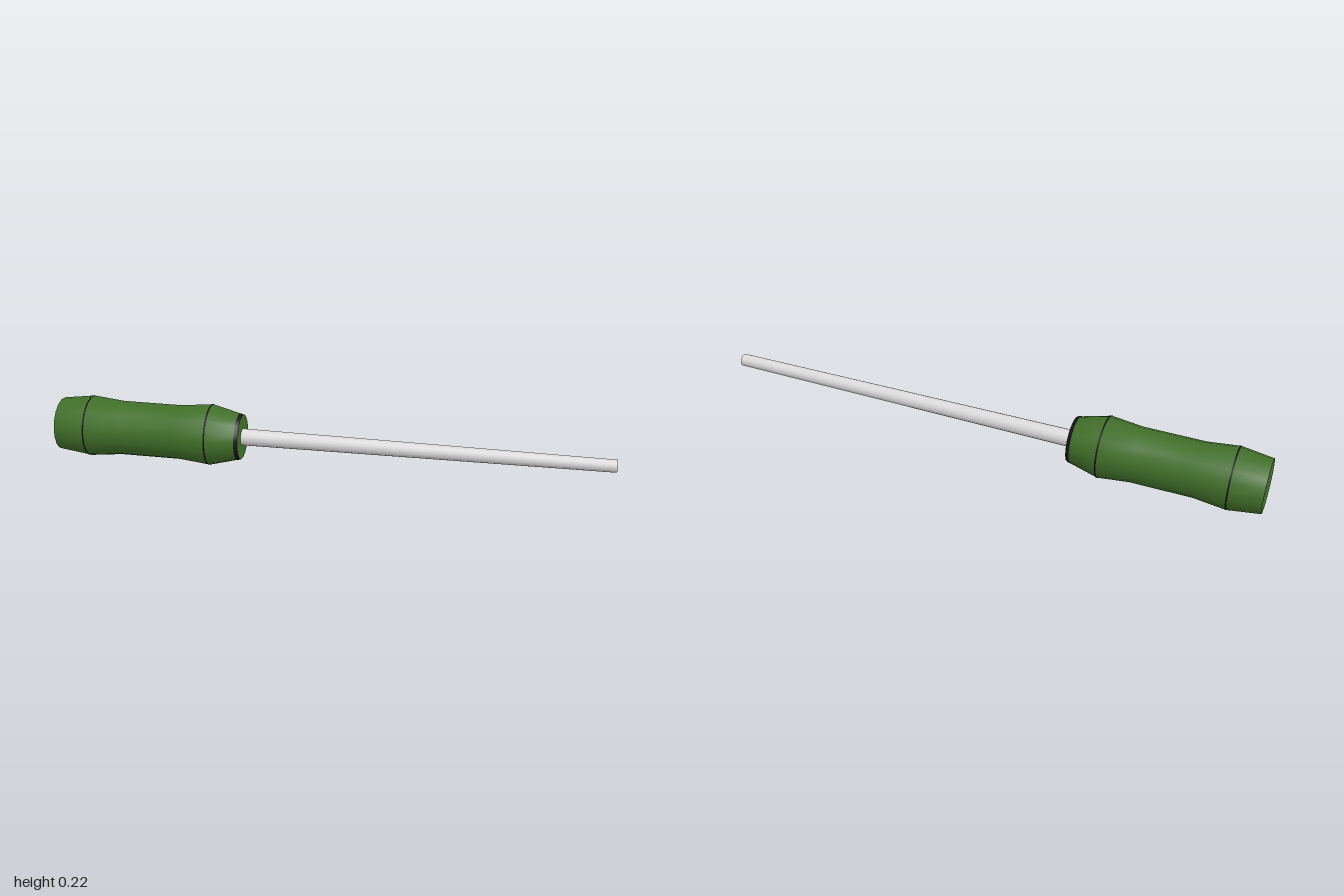
import * as THREE from 'three';

const SIDES = 18;
const AXIS_Y = 0.11;

export function createModel() {
  const model = new THREE.Group();
  const green = new THREE.MeshStandardMaterial({ color: 0x42702a });
  green.name = 'green grip';
  const steel = new THREE.MeshStandardMaterial({ color: 0xdcdcdc });
  steel.name = 'pale steel';
  const black = new THREE.MeshStandardMaterial({ color: 0x141414 });
  black.name = 'black seam';

  const add = (name, geometry, material, x = 0) => {
    const mesh = new THREE.Mesh(geometry, material);
    mesh.name = name;
    mesh.position.set(x, AXIS_Y, 0);
    model.add(mesh);
  };

  // Round section along x from radius r0 at x0 to radius r1 at x1
  const addRod = (name, material, x0, r0, x1, r1, open) => {
    const rod = new THREE.CylinderGeometry(r1, r0, x1 - x0, SIDES, 1, open, Math.PI / 2);
    add(name, rod.rotateZ(-Math.PI / 2), material, (x0 + x1) / 2);
  };

  // Handle: [x, radius] outline turned around the long axis
  const outline = [
    [-1, 0.095], [-0.885, 0.11], [-0.77, 0.098],
    [-0.55, 0.098], [-0.435, 0.11], [-0.32, 0.081],
  ];
  const grip = new THREE.LatheGeometry(
    outline.map(([x, r]) => new THREE.Vector2(r, x)), SIDES, Math.PI / 2);
  add('handle', grip.rotateZ(-Math.PI / 2), green);

  // Flat ends of the handle
  for (const [name, [x, r], side] of [
    ['handleButt', outline[0], -1],
    ['handleFront', outline[outline.length - 1], 1],
  ]) {
    const disc = new THREE.CircleGeometry(r, SIDES, Math.PI / 2);
    add(name, disc.rotateY(side * Math.PI / 2), green, x);
  }

  // Thin dark seams on the two swells and at the front rim
  addRod('rearSeam', black, -0.888, 0.1105, -0.882, 0.1105, true);
  addRod('frontSeam', black, -0.438, 0.1105, -0.432, 0.1105, true);
  addRod('rimSeam', black, -0.333, 0.0848, -0.32, 0.0815, true);

  // Slightly tapered shaft, seated in the handle
  addRod('shaft', steel, -0.34, 0.0305, 1, 0.0225, false);

  return model;
}
